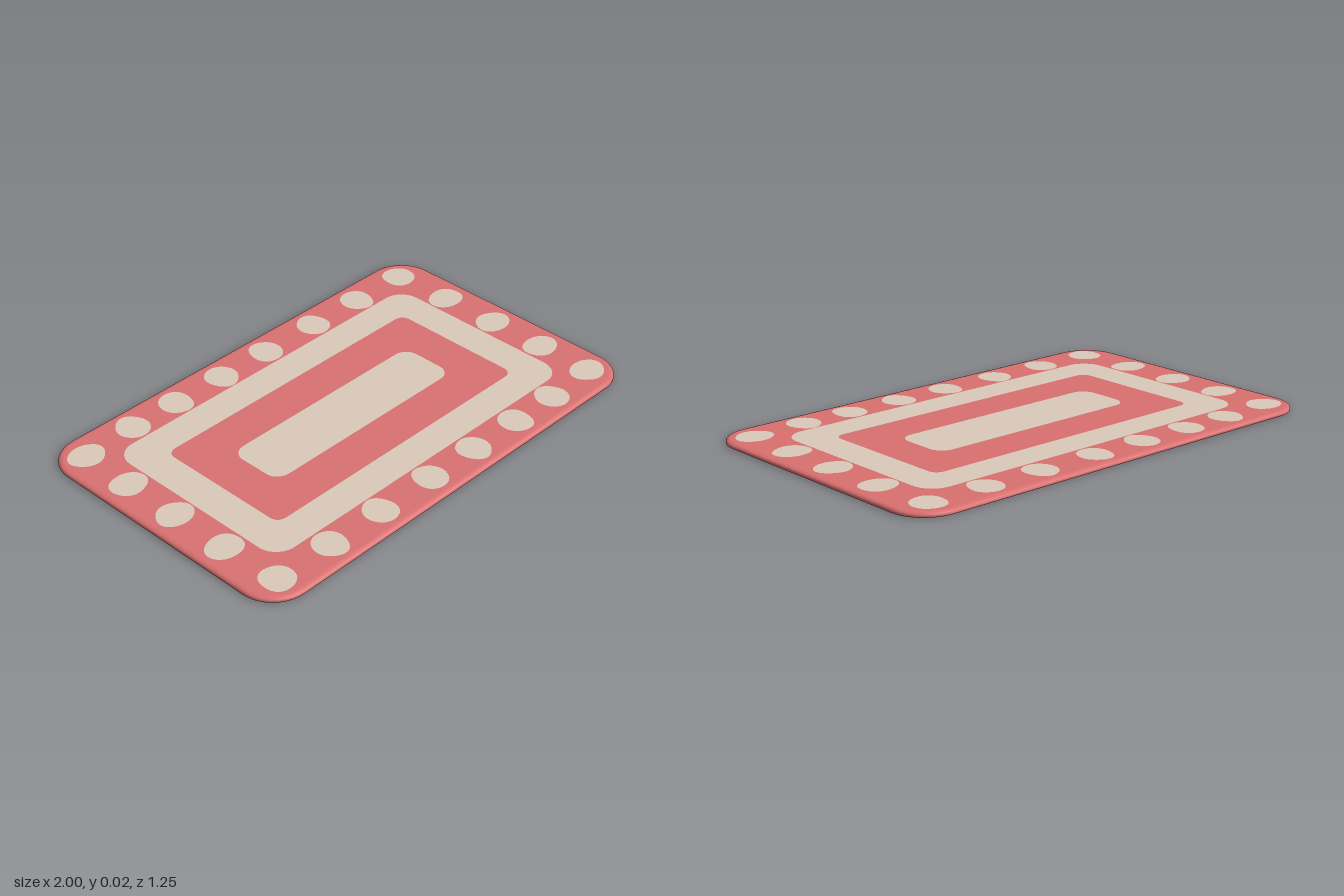
import * as THREE from 'three';

const HX = 1, HZ = 0.625, RADIUS = 0.15;

// Rounded rectangle outline centred on the origin
function roundedRect(hx, hy, r, Type = THREE.Shape) {
  const s = new Type();
  s.absarc(hx - r, hy - r, r, 0, Math.PI / 2);
  s.absarc(r - hx, hy - r, r, Math.PI / 2, Math.PI);
  s.absarc(r - hx, r - hy, r, Math.PI, Math.PI * 1.5);
  s.absarc(hx - r, r - hy, r, Math.PI * 1.5, Math.PI * 2);
  s.closePath();
  return s;
}

// Slightly uneven spot
function spot(x, y, rx, ry, seed) {
  const pts = [];
  for (let i = 0; i < 28; i++) {
    const a = (i / 28) * Math.PI * 2;
    const k = 1 + 0.025 * Math.sin(3 * a + seed) + 0.015 * Math.cos(4 * a + seed * 2);
    pts.push(new THREE.Vector2(x + rx * k * Math.cos(a), y + ry * k * Math.sin(a)));
  }
  return new THREE.Shape(pts);
}

// Rim swept around the outline: [inset, height] sections, square below and rounded above
function rimGeometry() {
  const profile = [[0.002, 0.001], [0, 0.003], [0, 0.009], [0.003, 0.0135], [0.008, 0.0165], [0.014, 0.0182], [0.02, 0.019]];
  const steps = 10, n = 4 * (steps + 1), pos = [], idx = [];
  profile.forEach(([inset, y], row) => {
    for (let c = 0; c < 4; c++) {
      const sx = c === 0 || c === 3 ? 1 : -1, sz = c < 2 ? 1 : -1;
      for (let i = 0; i <= steps; i++) {
        const a = (c + i / steps) * Math.PI / 2, r = RADIUS - inset;
        pos.push(sx * (HX - RADIUS) + r * Math.cos(a), y, sz * (HZ - RADIUS) + r * Math.sin(a));
      }
    }
    if (row === 0) return;
    for (let i = 0; i < n; i++) {
      const j = (i + 1) % n, lo = (row - 1) * n, hi = row * n;
      idx.push(lo + i, hi + i, lo + j, lo + j, hi + i, hi + j);
    }
  });
  const g = new THREE.BufferGeometry();
  g.setAttribute('position', new THREE.Float32BufferAttribute(pos, 3));
  g.setIndex(idx);
  g.computeVertexNormals();
  return g;
}

export function createModel() {
  const rug = new THREE.Group();
  rug.name = 'rug';
  const red = new THREE.MeshStandardMaterial({ color: 0xdb7171 });
  red.name = 'coral red';
  const cream = new THREE.MeshStandardMaterial({ color: 0xdbcabb });
  cream.name = 'cream';

  const add = (name, geometry, material) => {
    const m = new THREE.Mesh(geometry, material);
    m.name = name;
    rug.add(m);
  };

  add('rim', rimGeometry(), red);

  // Half of the border spots; the rest follow by a half turn: x, z, rx, rz
  const spots = [
    [-0.88, -0.505, 0.077, 0.066], [0.87, -0.515, 0.068, 0.07],
    ...[-0.64, -0.417, -0.171, 0.075, 0.348, 0.61].map(x => [x, -0.517, 0.067, 0.073]),
    ...[-0.26, -0.005, 0.257].map(z => [-0.883, z, 0.077, 0.066]),
  ];

  // Same pattern on the upper and lower faces
  for (const side of [1, -1]) {
    const word = side > 0 ? 'top' : 'bottom';
    const lay = (name, shapes, y, material) => {
      const g = new THREE.ShapeGeometry(shapes, 10);
      g.rotateX(-side * Math.PI / 2);
      g.translate(0, y, 0);
      add(word + name, g, material);
    };
    const faceY = side > 0 ? 0.019 : 0.001, patternY = side > 0 ? 0.02 : 0;
    const inset = side > 0 ? 0.02 : 0.002;
    lay('Field', roundedRect(HX - inset, HZ - inset, RADIUS - inset), faceY, red);

    const band = roundedRect(0.8, 0.438, 0.09);
    band.holes.push(roundedRect(0.657, 0.299, 0.04, THREE.Path));
    lay('Band', band, patternY, cream);
    lay('CentrePanel', roundedRect(0.487, 0.123, 0.06), patternY, cream);

    const all = spots.flatMap(([x, z, rx, rz], i) =>
      [1, -1].map(t => spot(t * x, -side * t * z, rx, rz, i * 1.7)));
    lay('BorderSpots', all, patternY, cream);
  }
  return rug;
}
